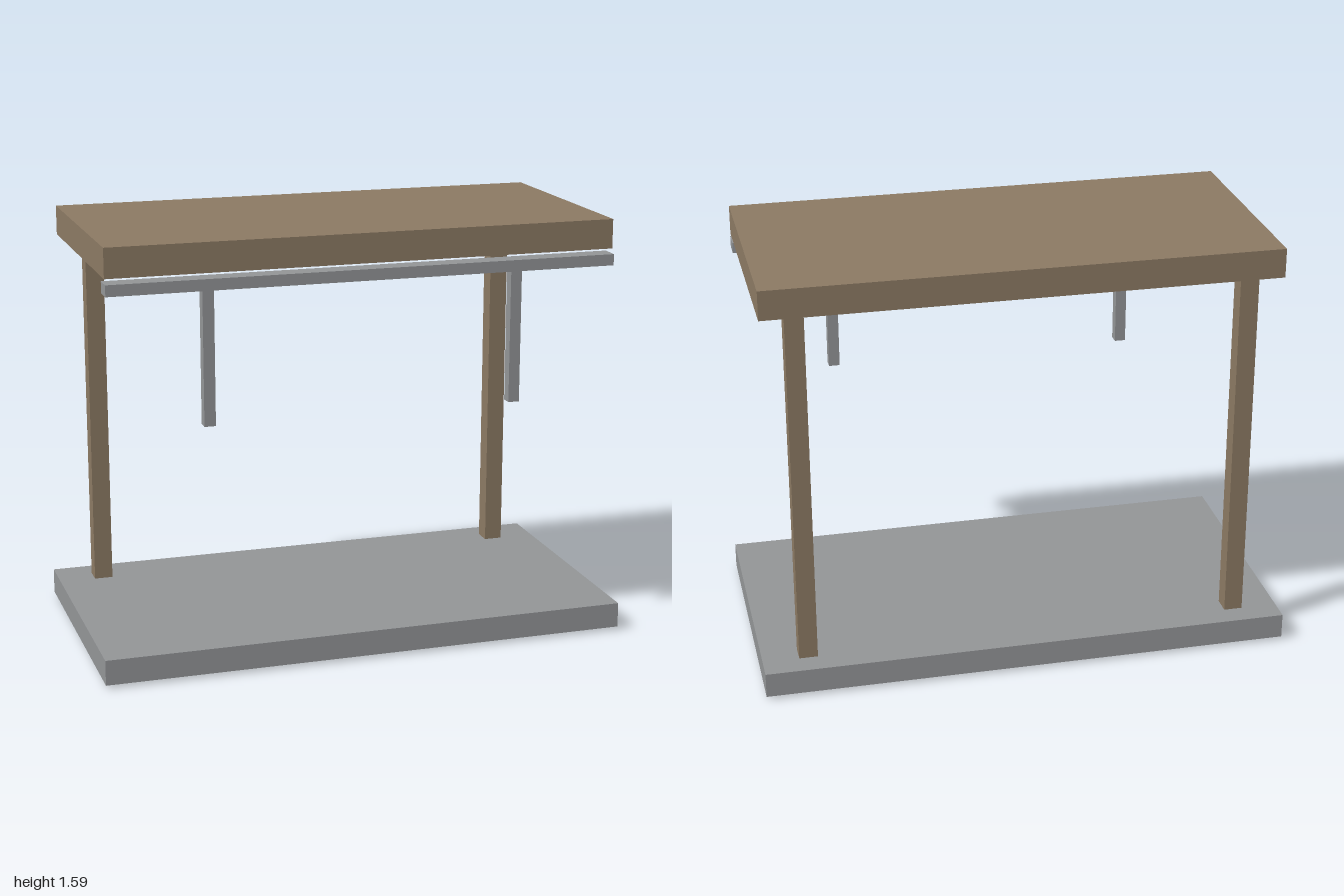
import * as THREE from 'three';

export function createModel() {
  const group = new THREE.Group();
  const wood = new THREE.MeshStandardMaterial({ color: 0x8b7963 });
  wood.name = 'brown wood';
  const metal = new THREE.MeshStandardMaterial({ color: 0x929496 });
  metal.name = 'grey metal';

  // Box given by its extents along each axis
  const addBox = (name, material, [x0, x1], [y0, y1], [z0, z1]) => {
    const mesh = new THREE.Mesh(new THREE.BoxGeometry(x1 - x0, y1 - y0, z1 - z0), material);
    mesh.position.set((x0 + x1) / 2, (y0 + y1) / 2, (z0 + z1) / 2);
    mesh.name = name;
    group.add(mesh);
  };

  // Ground slab, flat roof and front rail
  addBox('baseSlab', metal, [-1, 1], [0.012, 0.107], [-0.516, 0.516]);
  addBox('roof', wood, [-0.953, 0.953], [1.48, 1.59], [-0.45, 0.45]);
  addBox('frontRail', metal, [-0.953, 0.953], [1.42, 1.462], [0.393, 0.467]);

  // Rear posts, passing through the slab, and bars hanging from the rail
  for (const [side, s] of [['left', 1], ['right', -1]]) {
    const span = (a, b) => (s > 0 ? [a, b] : [-b, -a]);
    addBox(side + 'Post', wood, span(0.793, 0.863), [0, 1.48], [-0.428, -0.358]);
    addBox(side + 'HangingBar', metal, span(0.56, 0.602), [0.92, 1.42], [0.393, 0.435]);
  }
  return group;
}
